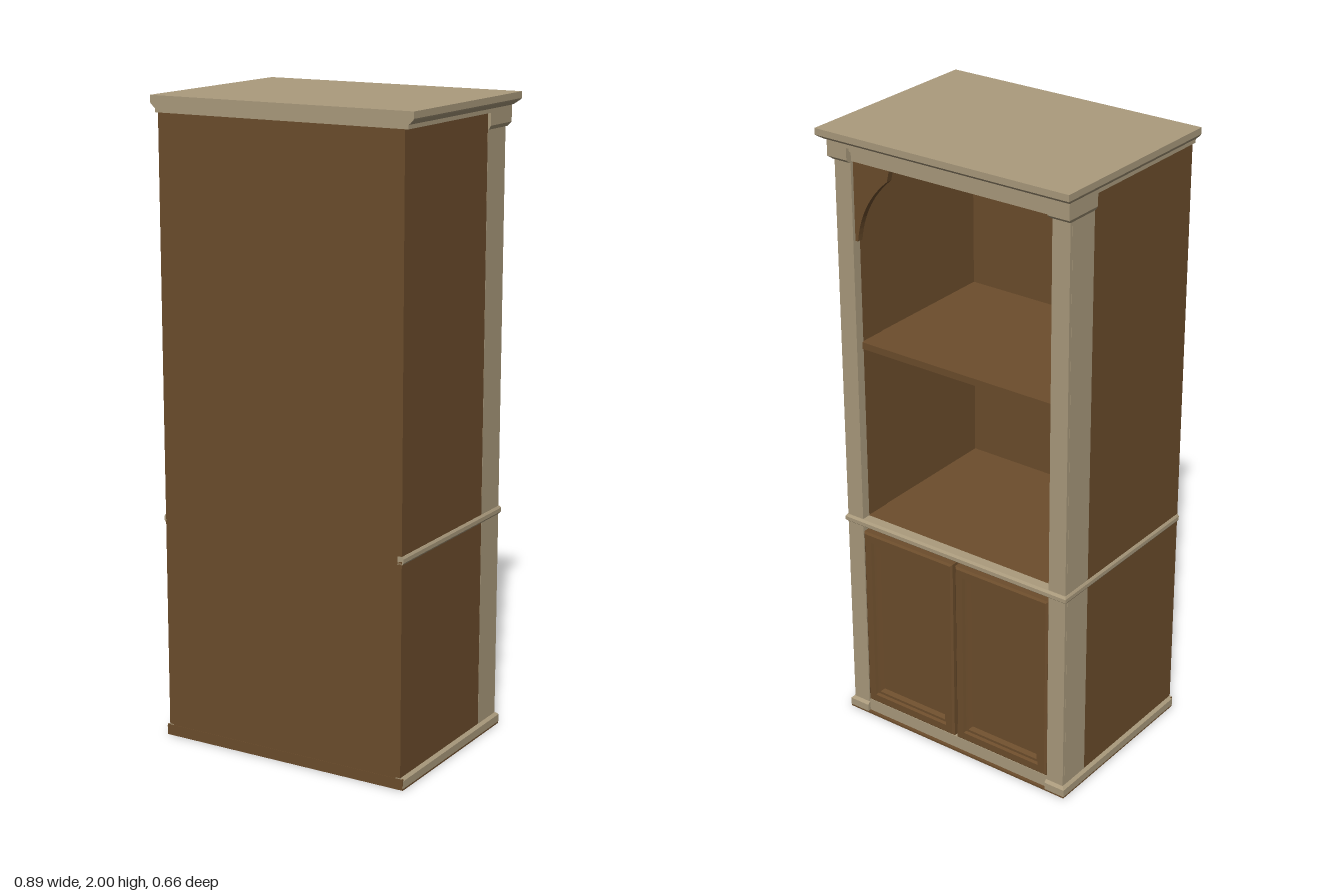
import * as THREE from 'three';

const cream = new THREE.MeshStandardMaterial({ color: 0xab9b7d, flatShading: true });
const brown = new THREE.MeshStandardMaterial({ color: 0x6c4d2c, flatShading: true });
const BACK = 0.33;

// Stacked rectangles [level, x0, x1, a0, a1] joined into a capped solid
function loft(rings) {
  const pos = [];
  const pts = rings.map(([y, x0, x1, a0, a1]) => [[x0, y, a0], [x0, y, a1], [x1, y, a1], [x1, y, a0]]);
  const quad = (a, b, c, d) => pos.push(...a, ...b, ...c, ...a, ...c, ...d);
  for (let r = 0; r < pts.length - 1; r++) {
    for (let i = 0; i < 4; i++) {
      const j = (i + 1) % 4;
      quad(pts[r][i], pts[r][j], pts[r + 1][j], pts[r + 1][i]);
    }
  }
  const lo = pts[0], hi = pts[pts.length - 1];
  quad(lo[3], lo[2], lo[1], lo[0]);
  quad(hi[0], hi[1], hi[2], hi[3]);
  const g = new THREE.BufferGeometry();
  g.setAttribute('position', new THREE.Float32BufferAttribute(pos, 3));
  g.computeVertexNormals();
  return g;
}

export function createModel() {
  const model = new THREE.Group();
  const add = (name, geo, mat) => {
    const m = new THREE.Mesh(geo, mat);
    m.name = name;
    model.add(m);
    return m;
  };
  const box = (name, mat, x0, x1, y0, y1, z0, z1) => {
    const m = add(name, new THREE.BoxGeometry(x1 - x0, y1 - y0, z1 - z0), mat);
    m.position.set((x0 + x1) / 2, (y0 + y1) / 2, (z0 + z1) / 2);
    return m;
  };
  // Box on the side s, given by distances from the centre
  const sideBox = (name, mat, s, a, b, ...rest) =>
    box(name, mat, Math.min(s * a, s * b), Math.max(s * a, s * b), ...rest);
  // Moulding round the sides and open face; section = [y, half width, front z]
  const band = (name, mat, section) =>
    add(name, loft(section.map(([y, w, z]) => [y, -w, w, z, BACK])), mat);

  // Carcass
  box('backPanel', brown, -0.415, 0.415, 0.005, 1.95, 0.305, BACK);
  box('bottomPanel', brown, -0.424, 0.424, 0, 0.006, -0.289, BACK);
  box('baseBackStrip', brown, -0.424, 0.424, 0.006, 0.035, 0.325, BACK + 0.001);
  box('cabinetFloor', brown, -0.36, 0.36, 0.69, 0.722, -0.255, 0.31);
  box('shelf', brown, -0.36, 0.36, 1.3, 1.322, -0.255, 0.31);
  box('ceiling', brown, -0.36, 0.36, 1.925, 1.95, -0.25, 0.31);

  for (const s of [-1, 1]) {
    // Side walls and corner posts
    sideBox('sidePanel', brown, s, 0.36, 0.415, 0.01, 1.95, -0.165, 0.31);
    sideBox('innerSide', brown, s, 0.358, 0.4, 0.01, 1.95, -0.25, -0.16);
    sideBox('cornerPost', cream, s, 0.355, 0.415, 0.01, 1.95, -0.28, -0.25);
    sideBox('postSide', cream, s, 0.39, 0.4155, 0.01, 1.95, -0.27, -0.165);
    // Post foot and capital
    const block = (name, section) => add(name, loft(section.map(([y, out, zf, zb]) => {
      const xs = [s * 0.353, s * out].sort((a, b) => a - b);
      return [y, xs[0], xs[1], zf, zb];
    })), cream);
    block('postFoot', [[0.006, 0.425, -0.29, -0.165], [0.03, 0.425, -0.29, -0.165], [0.038, 0.417, -0.281, -0.165]]);
    block('postCapital', [[1.9, 0.418, -0.285, -0.165], [1.912, 0.425, -0.3, -0.165], [1.96, 0.425, -0.3, -0.165]]);
    // Base strip along the side
    const bx = [s * 0.4, s * 0.425].sort((a, b) => a - b);
    const tx = [s * 0.4, s * 0.417].sort((a, b) => a - b);
    add('baseSide', loft([[0.006, ...bx, -0.2, BACK], [0.03, ...bx, -0.2, BACK], [0.038, ...tx, -0.2, BACK]]), cream);

    // Curved bracket in the upper corner of the opening
    const shape = new THREE.Shape();
    shape.moveTo(s * 0.36, 1.93);
    shape.lineTo(s * 0.36, 1.655);
    shape.lineTo(s * 0.345, 1.655);
    shape.quadraticCurveTo(s * 0.33, 1.78, s * 0.23, 1.865);
    shape.lineTo(s * 0.215, 1.93);
    const bracket = add('archBracket', new THREE.ExtrudeGeometry(shape, { depth: 0.02, bevelEnabled: false, curveSegments: 12 }), brown);
    bracket.position.z = -0.27;

    // Framed door with a bevelled recessed panel
    const c = s * 0.179;
    const inset = (level, d) => [level, c - 0.174 + d, c + 0.174 - d, 0.05 + d, 0.68 - d];
    const door = loft([
      inset(0.25, 0), inset(0.278, 0), inset(0.284, 0.006), inset(0.284, 0.03),
      inset(0.275, 0.034), inset(0.275, 0.042), inset(0.262, 0.05),
    ]);
    door.rotateX(-Math.PI / 2);
    add('door', door, brown);
  }

  // Rails between the posts
  box('doorBacking', brown, -0.36, 0.36, 0.04, 0.7, -0.253, -0.23);
  box('baseRail', cream, -0.356, 0.356, 0.006, 0.048, -0.278, -0.24);
  box('topRail', cream, -0.356, 0.356, 1.905, 1.955, -0.28, -0.25);
  box('topRailBead', cream, -0.356, 0.356, 1.935, 1.955, -0.288, -0.27);

  // Waist moulding: front sill and side strips
  add('waistSill', loft([
    [0.698, -0.417, 0.417, -0.281, -0.25], [0.704, -0.421, 0.421, -0.288, -0.25],
    [0.716, -0.421, 0.421, -0.288, -0.25], [0.723, -0.417, 0.417, -0.282, -0.25],
  ]), cream);
  for (const s of [-1, 1]) {
    const xs = (w) => [s * 0.4, s * w].sort((a, b) => a - b);
    add('waistSide', loft([
      [0.698, ...xs(0.417), -0.25, BACK], [0.704, ...xs(0.421), -0.25, BACK],
      [0.716, ...xs(0.421), -0.25, BACK], [0.723, ...xs(0.417), -0.25, BACK],
    ]), cream);
  }

  // Crown
  band('cornice', cream, [
    [1.95, 0.425, -0.3], [1.962, 0.425, -0.3], [1.965, 0.43, -0.308],
    [1.976, 0.441, -0.325], [1.98, 0.443, -0.33], [2, 0.443, -0.33],
  ]);
  return model;
}
